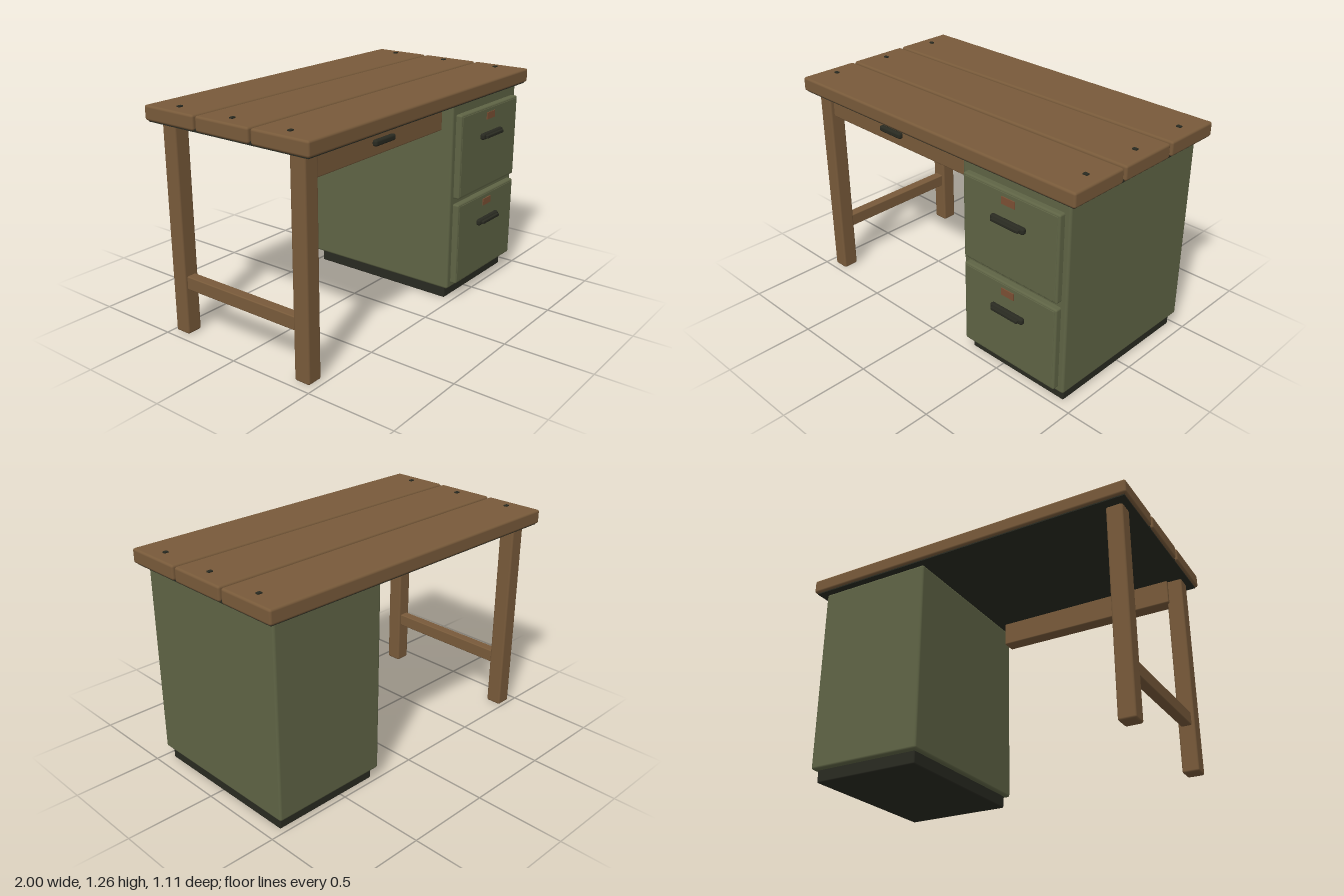
import * as THREE from 'three';
import { RoundedBoxGeometry } from 'three/addons/geometries/RoundedBoxGeometry.js';

function material(name, color) {
  const m = new THREE.MeshStandardMaterial({ color });
  m.name = name;
  return m;
}

export function createModel() {
  const wood = material('wood', 0x785a3a);
  const olive = material('olive metal', 0x5f6445);
  const dark = material('dark metal', 0x292a21);
  const rust = material('rust label', 0x7c5034);

  const desk = new THREE.Group();
  desk.name = 'desk';

  // Bevelled box given by its extents on each axis
  function block(name, mat, [x0, x1], [y0, y1], [z0, z1], bevel = 0.01, parent = desk) {
    const w = x1 - x0, h = y1 - y0, d = z1 - z0;
    const geometry = bevel > 0
      ? new RoundedBoxGeometry(w, h, d, 2, bevel)
      : new THREE.BoxGeometry(w, h, d);
    const mesh = new THREE.Mesh(geometry, mat);
    mesh.position.set((x0 + x1) / 2, (y0 + y1) / 2, (z0 + z1) / 2);
    mesh.name = name;
    parent.add(mesh);
    return mesh;
  }

  // Three top planks, each with a peg near both ends
  for (const z of [0.353, -0.012, -0.377]) {
    block('plank', wood, [-1, 1], [1.17, 1.25], [z - 0.175, z + 0.175], 0.013);
    for (const x of [-0.918, 0.916]) {
      block('peg', dark, [x - 0.013, x + 0.013], [1.24, 1.257], [z - 0.01, z + 0.01], 0.002);
    }
  }

  // Dark board under the planks
  block('underBoard', dark, [-0.985, 0.985], [1.163, 1.182], [-0.537, 0.513], 0);

  // Filing cabinet on a recessed plinth
  block('cabinet', olive, [0.25, 0.943], [0.07, 1.166], [-0.5, 0.48], 0.014);
  block('plinth', dark, [0.275, 0.92], [0, 0.08], [-0.468, 0.447], 0.008);

  // Bar handle: backing body and a slimmer grip in front
  function handle(x0, x1, y, z) {
    const g = new THREE.Group();
    g.name = 'handle';
    block('handleBody', dark, [x0, x1], [y - 0.018, y + 0.018], [z - 0.003, z + 0.026], 0.012, g);
    block('handleGrip', dark, [x0 + 0.02, x1 - 0.02], [y - 0.009, y + 0.009], [z + 0.02, z + 0.041], 0.004, g);
    desk.add(g);
  }

  // Two cabinet drawers with raised fronts, handles and label plates
  for (const y of [0.1, 0.617]) {
    block('drawerFront', olive, [0.285, 0.91], [y, y + 0.484], [0.47, 0.515], 0.011);
    block('drawerInset', olive, [0.297, 0.898], [y + 0.012, y + 0.472], [0.5, 0.517], 0.003);
    handle(0.49, 0.71, y + 0.321, 0.515);
    block('label', rust, [0.552, 0.637], [y + 0.41, y + 0.45], [0.513, 0.522], 0);
  }

  // Shallow centre drawer
  block('centreDrawer', wood, [-0.87, 0.212], [1.023, 1.168], [0.35, 0.437], 0.008);
  block('centreHandle', dark, [-0.42, -0.252], [1.077, 1.111], [0.433, 0.463], 0.012);

  // Legs and the stretcher joining them
  for (const z of [0.415, -0.435]) {
    block('leg', wood, [-0.95, -0.857], [0, 1.17], [z - 0.047, z + 0.047], 0.012);
  }
  block('stretcher', wood, [-0.933, -0.874], [0.26, 0.335], [-0.4, 0.38], 0.006);

  return desk;
}
